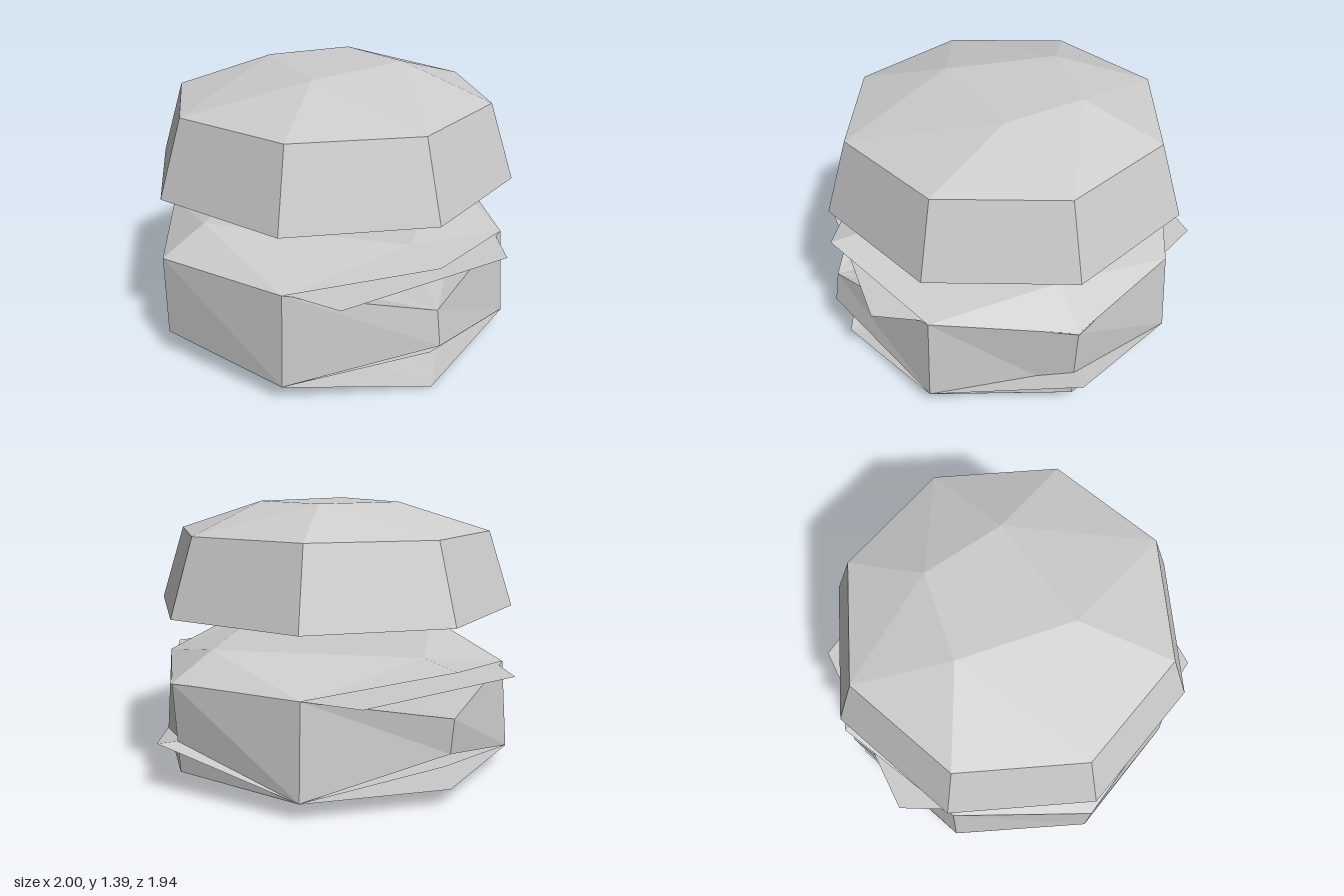
import * as THREE from 'three';

const CX = -0.04, CZ = -0.01;

// Ring of eight points: right, front right, front, front left, left, back left, back, back right
function octagon(diag, y, right, front, left, back) {
  const corner = (sx, sz) => [CX + sx * diag, y, CZ + sz * diag];
  return [
    [right[0], right[1], CZ], corner(1, 1),
    [CX, front[1], front[0]], corner(-1, 1),
    [left[0], left[1], CZ], corner(-1, -1),
    [CX, back[1], back[0]], corner(1, -1),
  ];
}

const regular = (r, y) =>
  octagon(r * Math.SQRT1_2, y, [CX + r, y], [CZ + r, y], [CX - r, y], [CZ - r, y]);

// Wall between two rings
function band(low, high) {
  return low.flatMap((p, i) => {
    const j = (i + 1) % low.length;
    return [p, high[i], high[j], p, high[j], low[j]];
  });
}

// Flat or folded cap, fanned from one point of the ring
function cap(ring, start, up) {
  const n = ring.length, out = [];
  for (let k = 1; k < n - 1; k++) {
    const a = ring[(start + k) % n], b = ring[(start + k + 1) % n];
    out.push(ring[start], ...(up ? [b, a] : [a, b]));
  }
  return out;
}

// Faceted crown from an eight-point ring up to a four-point top
function crown(ring, quad, shift) {
  const owner = (i) => quad[Math.floor((i + shift) / 2) % 4];
  const out = [];
  for (let i = 0; i < 8; i++) {
    out.push(ring[i], owner(i), ring[(i + 1) % 8]);
    const before = owner((i + 7) % 8);
    if (before !== owner(i)) out.push(ring[i], before, owner(i));
  }
  return out.concat(cap(quad, 0, true));
}

export function createModel() {
  const group = new THREE.Group();
  const grey = new THREE.MeshStandardMaterial({ color: 0xcccccc, flatShading: true, side: THREE.DoubleSide });
  grey.name = 'plain grey';

  function add(name, points) {
    const geometry = new THREE.BufferGeometry();
    geometry.setAttribute('position', new THREE.Float32BufferAttribute(points.flat(), 3));
    geometry.computeVertexNormals();
    const mesh = new THREE.Mesh(geometry, grey);
    mesh.name = name;
    group.add(mesh);
  }

  // Top bun: sloping wall, irregular crown and flat underside
  const bunLow = regular(0.945, 0.855), bunHigh = regular(0.82, 1.24);
  const bunTop = [[0.31, 1.39, 0.13], [-0.28, 1.39, 0.22], [-0.2, 1.39, -0.36], [0.25, 1.39, -0.3]];
  add('topBun', [...band(bunLow, bunHigh), ...crown(bunHigh, bunTop, 0), ...cap(bunLow, 0, false)]);

  // Lettuce: sheet with raised front and back tips and a diamond top
  const lettuceRing = octagon(0.645, 0.555, [0.91, 0.545], [0.95, 0.655], [-1, 0.545], [-0.97, 0.655]);
  const lettuceTop = [[0.69, 0.68, CZ], [CX, 0.68, 0.725], [-0.775, 0.68, CZ], [CX, 0.68, -0.745]];
  add('lettuce', crown(lettuceRing, lettuceTop, 1));

  // Cheese: thin flat hexagon
  const cheese = [];
  for (let i = 0; i < 6; i++) {
    const a = i * Math.PI / 3;
    cheese.push([CX + 0.96 * Math.cos(a), 0.545, CZ + 1.015 * Math.sin(a)]);
  }
  add('cheese', cap(cheese, 0, true));

  // Patty: wall dipping at front and back, with folded caps
  const pattyHigh = octagon(0.645, 0.555, [0.91, 0.545], [0.94, 0.435], [-1, 0.545], [-0.96, 0.435]);
  const pattyLow = octagon(0.67, 0.092, [0.88, 0.09], [0.97, 0.26], [-1, 0.13], [-0.94, 0.26]);
  add('patty', [...band(pattyLow, pattyHigh), ...cap(pattyHigh, 2, true), ...cap(pattyLow, 2, false)]);

  // Lower leaf: thin sheet poking out on one side
  const leaf = octagon(0.67, 0.091, [1, 0.26], [0.9, 0.185], [-0.9, 0.185], [-0.9, 0.185]);
  add('lowerLeaf', leaf.flatMap((p, i) => [p, [CX, 0.165, CZ], leaf[(i + 1) % 8]]));

  // Bottom bun: thin base with its front point drooping to the ground
  const base = octagon(0.67, 0.09, [0.88, 0.09], [0.92, 0], [-1, 0.13], [-0.95, 0.09]);
  add('bottomBun', cap(base, 2, false));

  return group;
}
